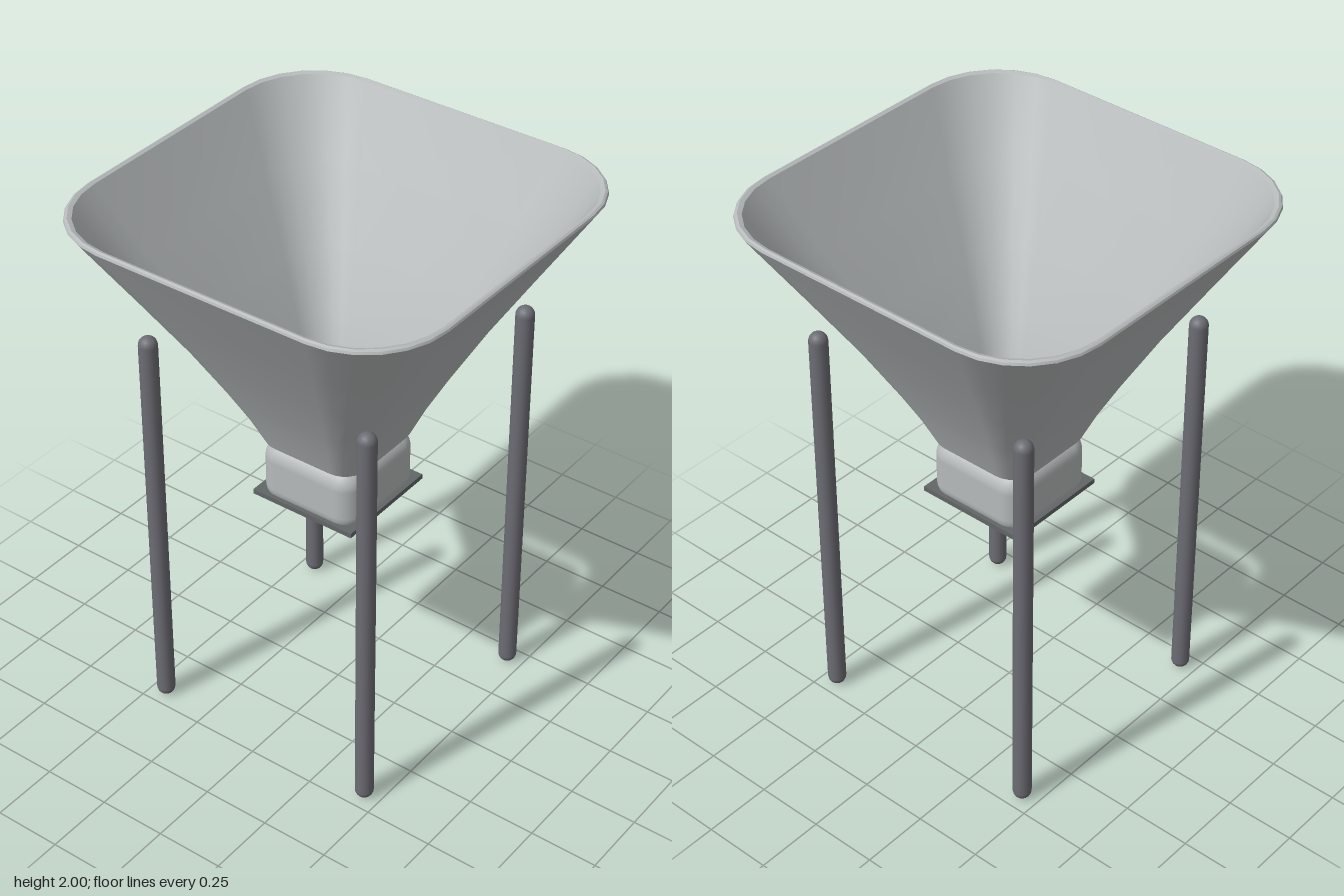
import * as THREE from 'three';
import { toCreasedNormals } from 'three/addons/utils/BufferGeometryUtils.js';
import { RoundedBoxGeometry } from 'three/addons/geometries/RoundedBoxGeometry.js';

const CORNER_STEPS = 6;

// Rounded square in the xz plane with the given half width
function roundedSquare(half) {
  const radius = half * 0.43;
  const points = [];
  for (let q = 0; q < 4; q++) {
    const mid = (q + 0.5) * Math.PI / 2;
    const cx = Math.sign(Math.cos(mid)) * (half - radius);
    const cz = Math.sign(Math.sin(mid)) * (half - radius);
    for (let k = 0; k <= CORNER_STEPS; k++) {
      const a = (q + k / CORNER_STEPS) * Math.PI / 2;
      points.push([cx + radius * Math.cos(a), cz + radius * Math.sin(a)]);
    }
  }
  return points;
}

// Closed shell lofted through [half width, height] rings, last joined to first
function loftShell(profile) {
  const n = 4 * (CORNER_STEPS + 1);
  const positions = [];
  const index = [];
  for (const [half, y] of profile) {
    for (const [x, z] of roundedSquare(half)) positions.push(x, y, z);
  }
  for (let i = 0; i < profile.length; i++) {
    const next = (i + 1) % profile.length;
    for (let j = 0; j < n; j++) {
      const k = (j + 1) % n;
      const a = i * n + j, b = i * n + k, c = next * n + j, d = next * n + k;
      index.push(a, c, b, b, c, d);
    }
  }
  const geometry = new THREE.BufferGeometry();
  geometry.setAttribute('position', new THREE.Float32BufferAttribute(positions, 3));
  geometry.setIndex(index);
  return toCreasedNormals(geometry, 0.6);
}

export function createModel() {
  const model = new THREE.Group();
  model.name = 'hopperOnLegs';

  const material = (name, color) => {
    const m = new THREE.MeshStandardMaterial({ color });
    m.name = name;
    return m;
  };
  const lightSteel = material('lightSteel', 0xb6babb);
  const darkSteel = material('darkSteel', 0x6c6c74);
  const gateGrey = material('gateGrey', 0x626667);

  const add = (name, geometry, mat, x, y, z) => {
    const mesh = new THREE.Mesh(geometry, mat);
    mesh.name = name;
    mesh.position.set(x, y, z);
    model.add(mesh);
  };

  // Flared funnel: up the outside, over the rolled rim, down the inside
  const funnelProfile = [
    [0.2, 1.085], [0.245, 1.19], [0.305, 1.31], [0.41, 1.505], [0.55, 1.74], [0.692, 1.975],
    [0.7, 1.988], [0.697, 1.996], [0.69, 2], [0.678, 1.995],
    [0.54, 1.745], [0.4, 1.51], [0.296, 1.315], [0.236, 1.195], [0.194, 1.09],
  ];
  add('funnel', loftShell(funnelProfile), lightSteel, 0, 0, 0);

  // Outlet block under the funnel
  add('outlet', new RoundedBoxGeometry(0.39, 0.25, 0.39, 5, 0.07), lightSteel, 0, 0.96, 0);

  // Thin square gate around the outlet
  add('gatePlate', new THREE.BoxGeometry(0.412, 0.018, 0.412), gateGrey, 0, 0.87, 0);

  // Four round-ended legs
  const legGeometry = new THREE.CapsuleGeometry(0.033, 1.469, 6, 16);
  for (const x of [-0.44, 0.44]) {
    for (const z of [-0.44, 0.44]) {
      add(`${z > 0 ? 'front' : 'back'}${x > 0 ? 'Left' : 'Right'}Leg`, legGeometry, darkSteel, x, 0.7675, z);
    }
  }
  return model;
}
